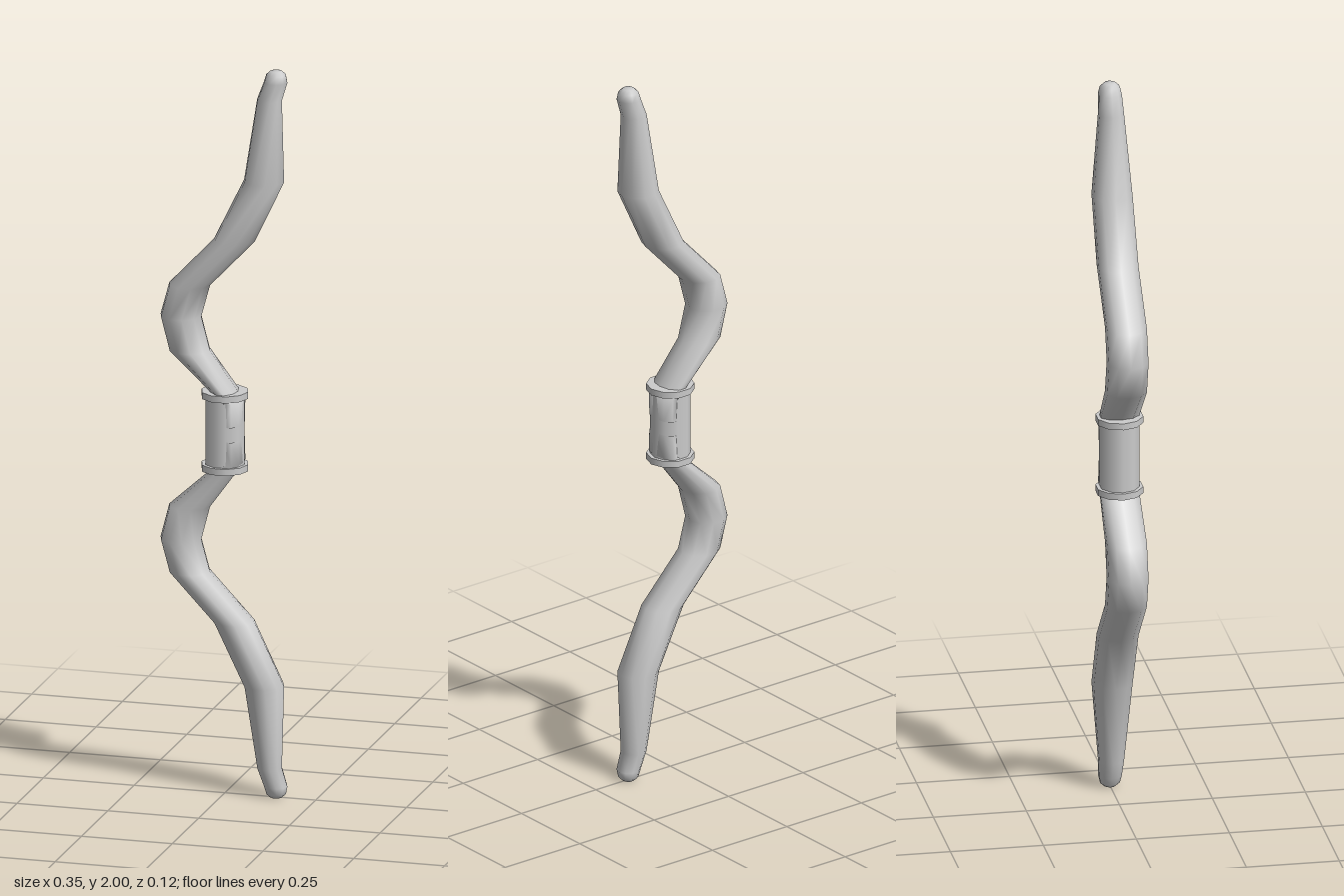
import * as THREE from 'three';

const SIDES = 10;
const material = new THREE.MeshStandardMaterial({ color: 0xcccccc });

// Level cross-sections of the upper limb: [y, centre x, half width in x, radius in z]
const SECTIONS = [
  [1.02, 0.022, 0.030, 0.052],
  [1.085, 0.022, 0.031, 0.054],
  [1.215, -0.097, 0.056, 0.056],
  [1.307, -0.121, 0.056, 0.056],
  [1.395, -0.097, 0.056, 0.056],
  [1.525, 0.026, 0.056, 0.056],
  [1.695, 0.108, 0.055, 0.055],
  [1.92, 0.123, 0.034, 0.035],
  [1.97, 0.140, 0.032, 0.032],
  [1.99, 0.141, 0.027, 0.027],
  [2.0, 0.141, 0.016, 0.016],
];

// Skins the sections; the lower limb is the upper one reflected about y = 1
function limbGeometry(mirrored) {
  const pos = [];
  const index = [];
  const flip = (y) => (mirrored ? 2 - y : y);
  const tri = (a, b, c) => (mirrored ? index.push(a, c, b) : index.push(a, b, c));
  for (const [y, cx, rx, rz] of SECTIONS) {
    for (let i = 0; i < SIDES; i++) {
      const a = (i / SIDES) * Math.PI * 2;
      pos.push(cx + rx * Math.cos(a), flip(y), rz * Math.sin(a));
    }
  }
  for (let j = 0; j < SECTIONS.length - 1; j++) {
    for (let i = 0; i < SIDES; i++) {
      const n = (i + 1) % SIDES;
      const a = j * SIDES + i, b = j * SIDES + n;
      tri(a, a + SIDES, b);
      tri(b, a + SIDES, b + SIDES);
    }
  }
  // tip cap
  const last = (SECTIONS.length - 1) * SIDES;
  const [ty, tx] = SECTIONS[SECTIONS.length - 1];
  const tip = pos.length / 3;
  pos.push(tx, flip(ty), 0);
  for (let i = 0; i < SIDES; i++) tri(last + i, tip, last + ((i + 1) % SIDES));

  const geo = new THREE.BufferGeometry();
  geo.setAttribute('position', new THREE.Float32BufferAttribute(pos, 3));
  geo.setIndex(index);
  geo.computeVertexNormals();
  return geo;
}

function drum(radius, height, y) {
  return new THREE.CylinderGeometry(radius, radius, height, SIDES)
    .rotateY(Math.PI / 2)
    .translate(0, y, 0);
}

export function createModel() {
  const group = new THREE.Group();
  const add = (name, geometry) => {
    const mesh = new THREE.Mesh(geometry, material);
    mesh.name = name;
    group.add(mesh);
  };

  // curved limbs
  add('upperLimb', limbGeometry(false));
  add('lowerLimb', limbGeometry(true));

  // grip with a collar at each end
  add('grip', drum(0.054, 0.2, 1));
  add('upperCollar', drum(0.064, 0.018, 1.1));
  add('lowerCollar', drum(0.064, 0.018, 0.9));

  return group;
}
